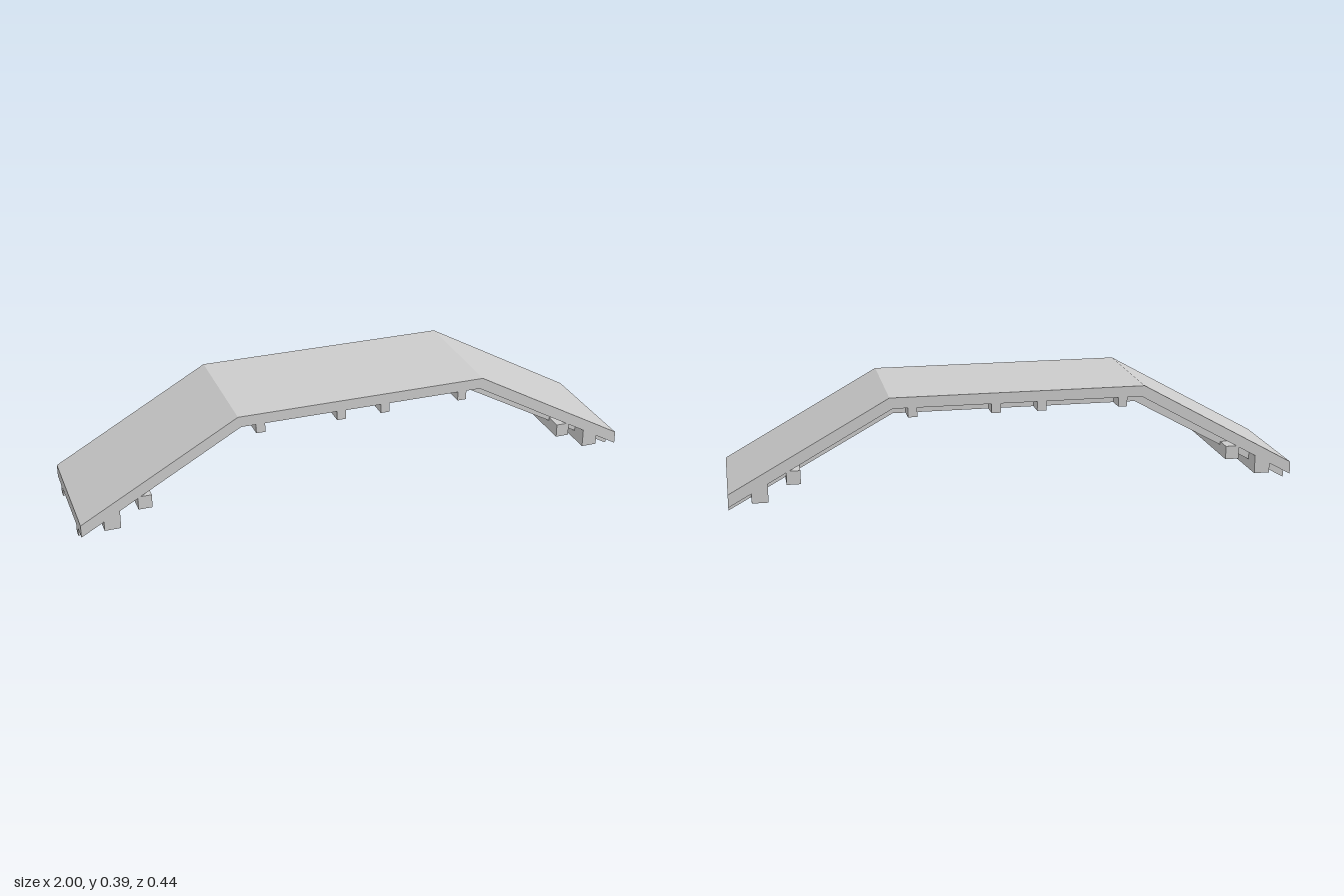
import * as THREE from 'three';

export function createModel() {
  const group = new THREE.Group();
  group.name = 'footbridge';
  const material = new THREE.MeshStandardMaterial({ color: 0xcccccc, flatShading: true });
  const WIDTH = 0.444;

  const add = (name, geometry, x, y, z) => {
    const mesh = new THREE.Mesh(geometry, material);
    mesh.name = name;
    mesh.position.set(x, y, z);
    group.add(mesh);
  };

  // Bent band: half outlines [x, y] of its upper and lower edges, mirrored in x
  const band = (top, bottom, depth) => {
    const right = [...bottom].reverse().concat([]);
    const points = [
      ...top.map(([x, y]) => [-x, y]),
      ...[...top].reverse(),
      ...bottom,
      ...right.map(([x, y]) => [-x, y]),
    ].map(([x, y]) => new THREE.Vector2(x, y));
    const geometry = new THREE.ExtrudeGeometry(new THREE.Shape(points), { depth, bevelEnabled: false });
    return geometry.translate(0, 0, -depth / 2);
  };

  const deckTop = [[1, 0.076], [0.447, 0.386]];
  const deckBottom = [[1, 0.031], [0.437, 0.348]];
  const beamBottom = [[1, 0], [0.43, 0.315]];

  // Walking deck: two ramps and a level span
  add('deck', band(deckTop, deckBottom, WIDTH), 0, 0, 0);

  for (const side of [-1, 1]) {
    // Long beams under the deck
    add('stringer', band([...deckBottom], beamBottom, 0.031), 0, 0, side * 0.1425);

    // Cross beams under the level span
    for (const x of [0.08, 0.369]) {
      add('crossBeam', new THREE.BoxGeometry(0.032, 0.036, WIDTH), side * x, 0.333, 0);
    }

    // Heavier cross beams under the ramps
    add('upperRampBeam', new THREE.BoxGeometry(0.048, 0.048, WIDTH), side * 0.778, 0.124, 0);
    add('lowerRampBeam', new THREE.BoxGeometry(0.056, 0.065, WIDTH), side * 0.893, 0.0735, 0);
  }

  return group;
}
